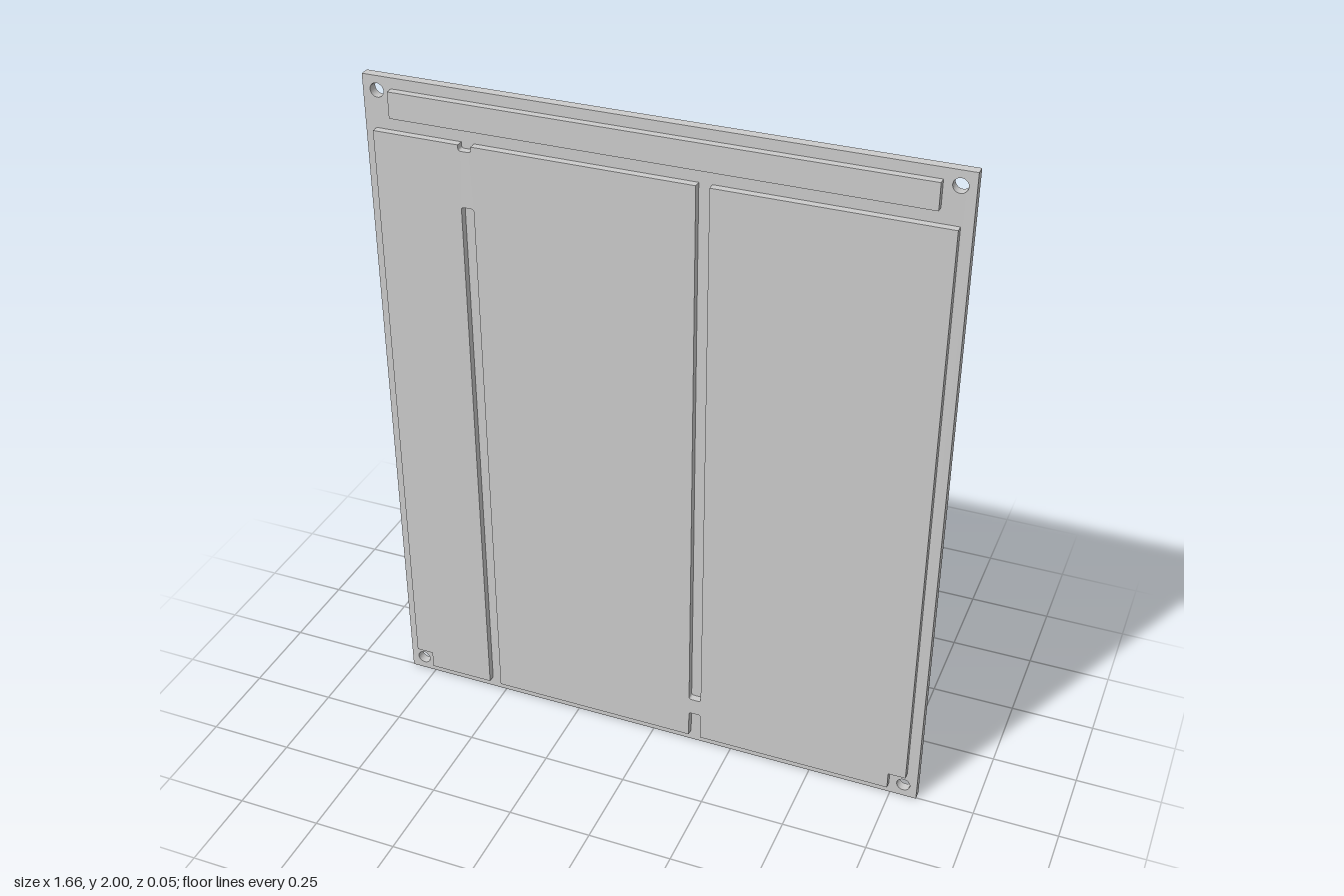
import * as THREE from 'three';

const BACK = -0.025, FACE = 0.003, FRONT = 0.025;

export function createModel() {
  const group = new THREE.Group();
  const material = new THREE.MeshStandardMaterial({ color: 0xcccccc });

  const addSlab = (name, shape, z0, z1) => {
    const geometry = new THREE.ExtrudeGeometry(shape, {
      depth: z1 - z0, bevelEnabled: false, curveSegments: 16,
    });
    geometry.translate(0, 0, z0);
    const mesh = new THREE.Mesh(geometry, material);
    mesh.name = name;
    group.add(mesh);
  };

  const rectangle = (x, y0, y1) => new THREE.Shape([
    new THREE.Vector2(-x, y0), new THREE.Vector2(x, y0),
    new THREE.Vector2(x, y1), new THREE.Vector2(-x, y1),
  ]);

  // Base plate with a mounting hole in each corner
  const plate = rectangle(0.829, 0, 2);
  for (const x of [-0.788, 0.788]) {
    for (const y of [0.041, 1.959]) {
      plate.holes.push(new THREE.Path().absarc(x, y, 0.02, 0, Math.PI * 2, true));
    }
  }
  addSlab('basePlate', plate, BACK, FACE);

  // Raised strip along the top
  addSlab('topStrip', rectangle(0.745, 1.894, 1.969), FACE, FRONT);

  // Raised panel, cut by slots that enter from its bottom and top edges
  const side = 0.797, notchX = 0.745, bottom = 0.034, notchY = 0.087, top = 1.852;
  const half = 0.0185, r = 0.008;
  const panel = new THREE.Shape();

  // Slot from an edge to depth yEnd; dir is the drawing direction along x
  const slot = (x, yEdge, yEnd, dir) => {
    const a = x - dir * half, b = x + dir * half;
    const back = Math.sign(yEdge - yEnd) * r;
    panel.lineTo(a, yEdge);
    panel.lineTo(a, yEnd + back);
    panel.quadraticCurveTo(a, yEnd, a + dir * r, yEnd);
    panel.lineTo(b - dir * r, yEnd);
    panel.quadraticCurveTo(b, yEnd, b, yEnd + back);
    panel.lineTo(b, yEdge);
  };

  panel.moveTo(-side, notchY);
  panel.lineTo(-notchX, notchY);
  panel.lineTo(-notchX, bottom);
  slot(-0.527, bottom, 1.672, 1);
  slot(0.141, bottom, 0.12, 1);
  panel.lineTo(notchX, bottom);
  panel.lineTo(notchX, notchY);
  panel.lineTo(side, notchY);
  panel.lineTo(side, top);
  slot(0.141, top, 0.173, -1);
  slot(-0.527, top, 1.835, -1);
  panel.lineTo(-side, top);
  panel.closePath();
  addSlab('slottedPanel', panel, FACE, FRONT);

  return group;
}
